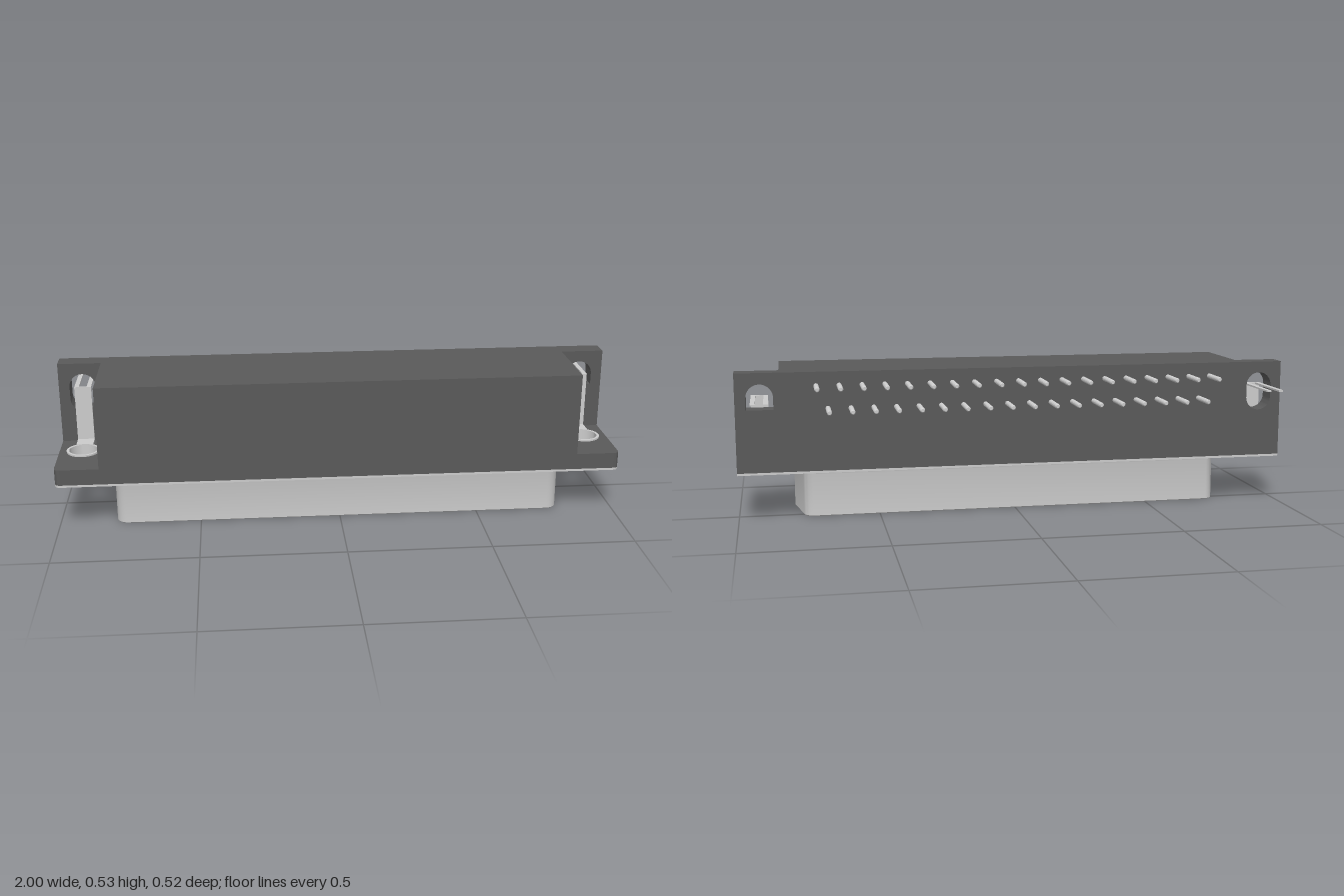
import * as THREE from 'three';
import { toCreasedNormals } from 'three/addons/utils/BufferGeometryUtils.js';

const plastic = new THREE.MeshStandardMaterial({ color: 0x5a5a5a });
const metal = new THREE.MeshStandardMaterial({ color: 0xcccccc });
const HOLE_X = 0.915, HOLE_Z = 0.08;

function add(parent, name, geometry, material, x = 0, y = 0, z = 0) {
  const mesh = new THREE.Mesh(geometry, material);
  mesh.name = name;
  mesh.position.set(x, y, z);
  parent.add(mesh);
  return mesh;
}

// box given by its limits on each axis
function block(parent, name, material, [x0, x1], [y0, y1], [z0, z1]) {
  return add(parent, name, new THREE.BoxGeometry(x1 - x0, y1 - y0, z1 - z0), material,
    (x0 + x1) / 2, (y0 + y1) / 2, (z0 + z1) / 2);
}

// horizontal slab from a shape drawn in (x, -z)
function slab(shape, y0, y1) {
  const g = new THREE.ExtrudeGeometry(shape, { depth: y1 - y0, bevelEnabled: false, curveSegments: 16 });
  return toCreasedNormals(g.rotateX(-Math.PI / 2).translate(0, y0, 0), 0.6);
}

// flange outline with rounded front corners and two screw holes
function flangeShape(zBack) {
  const s = new THREE.Shape(), r = 0.022, f = -0.26;
  s.moveTo(-1, -zBack);
  s.lineTo(-1, f + r);
  s.quadraticCurveTo(-1, f, -1 + r, f);
  s.lineTo(1 - r, f);
  s.quadraticCurveTo(1, f, 1, f + r);
  s.lineTo(1, -zBack);
  s.closePath();
  for (const side of [-1, 1]) {
    s.holes.push(new THREE.Path().absarc(side * HOLE_X, -HOLE_Z, 0.055, 0, Math.PI * 2, true));
  }
  return s;
}

// D outline (wide at the front) as [x, z] points, grown by an offset
function dOutline(offset) {
  const r = 0.04, tilt = THREE.MathUtils.degToRad(10), half = Math.PI / 2, n = 7;
  const right = [];
  for (const [z, a0, a1] of [[-0.04 + r, -half, -tilt], [0.2 - r, -tilt, half]]) {
    const cx = 0.765 + (z + 0.04) * Math.tan(tilt) - r / Math.cos(tilt);
    for (let i = 0; i <= n; i++) {
      const a = a0 + (a1 - a0) * i / n;
      right.push([cx + (r + offset) * Math.cos(a), z + (r + offset) * Math.sin(a)]);
    }
  }
  return [...right, ...right.map(([x, z]) => [-x, z]).reverse()];
}

// skin D outlines along a profile of [offset, y]
function loftD(profile) {
  const pos = [], index = [];
  const n = dOutline(0).length;
  profile.forEach(([off, y], j) => {
    for (const [x, z] of dOutline(off)) pos.push(x, y, z);
    if (j === 0) return;
    for (let i = 0; i < n; i++) {
      const k = (i + 1) % n, a = (j - 1) * n, b = j * n;
      index.push(a + i, a + k, b + i, a + k, b + k, b + i);
    }
  });
  const g = new THREE.BufferGeometry();
  g.setAttribute('position', new THREE.Float32BufferAttribute(pos, 3));
  g.setIndex(index);
  g.computeVertexNormals();
  return toCreasedNormals(g, 0.6);
}

// pin with chamfered tip at the origin, running up y
function pinGeometry(length) {
  const pts = [[0, 0], [0.006, 0], [0.009, 0.005], [0.009, length]];
  return toCreasedNormals(new THREE.LatheGeometry(pts.map(p => new THREE.Vector2(...p)), 14), 0.6);
}

// vertical plate behind the body, with a bracket slot near each end
function backPlateGeometry() {
  const s = new THREE.Shape();
  s.moveTo(-1, 0.178);
  s.lineTo(1, 0.178);
  s.lineTo(1, 0.53);
  s.lineTo(-1, 0.53);
  s.closePath();
  const r = 0.047, top = 0.49 - r;
  const pill = new THREE.Path();
  pill.absarc(-HOLE_X, top, r, 0, Math.PI, false);
  pill.absarc(-HOLE_X, 0.35 + r, r, Math.PI, Math.PI * 2, false);
  pill.closePath();
  const arch = new THREE.Path();
  arch.absarc(HOLE_X, top, r, 0, Math.PI, false);
  arch.lineTo(HOLE_X - r, 0.4);
  arch.lineTo(HOLE_X + r, 0.4);
  arch.closePath();
  s.holes.push(pill, arch);
  const g = new THREE.ExtrudeGeometry(s, { depth: 0.07, bevelEnabled: false, curveSegments: 16 });
  return toCreasedNormals(g.translate(0, 0, -0.1), 0.6);
}

export function createModel() {
  const model = new THREE.Group();
  model.name = 'connector';

  // plastic housing
  const housing = new THREE.Group();
  housing.name = 'housing';
  model.add(housing);
  block(housing, 'mainBlock', plastic, [-0.845, 0.845], [0.235, 0.53], [-0.03, 0.26]);
  add(housing, 'basePlate', slab(flangeShape(-0.03), 0.178, 0.235), plastic);
  add(housing, 'backPlate', backPlateGeometry(), plastic);

  // metal flange and hollow D-shaped shell
  add(model, 'metalFlange', slab(flangeShape(-0.1), 0.17, 0.178), metal);
  const profile = [];
  for (let i = 0; i <= 6; i++) {
    const a = i / 6 * Math.PI / 2;
    profile.push([0.016 * (1 - Math.sin(a)), 0.17 - 0.016 * (1 - Math.cos(a))]);
  }
  profile.push([0, 0.003], [-0.003, 0], [-0.012, 0], [-0.012, 0.16]);
  add(model, 'shell', loftD(profile), metal);
  const insert = new THREE.Shape(dOutline(-0.011).map(([x, z]) => new THREE.Vector2(x, -z)));
  add(model, 'insert', slab(insert, 0.15, 0.172), plastic);

  // two staggered rows: 19 and 18 pins
  const solderPin = pinGeometry(0.16).rotateX(Math.PI / 2);
  const contactPin = pinGeometry(0.14);
  for (let i = 0; i < 37; i++) {
    const x = (i - 18) * 0.04, outer = i % 2 === 0;
    add(model, 'solderPin', solderPin, metal, x, outer ? 0.481 : 0.4, -0.213);
    add(model, 'contactPin', contactPin, metal, x, 0.02, outer ? 0.12 : 0.04);
  }

  // bent board-lock brackets with eyelets
  const eyelet = new THREE.LatheGeometry(
    [[0.05, 0.17], [0.055, 0.17], [0.055, 0.235], [0.059, 0.235], [0.059, 0.241], [0.05, 0.241], [0.05, 0.17]]
      .map(p => new THREE.Vector2(...p)), 32);
  const eyeletGeometry = toCreasedNormals(eyelet, 0.6);
  for (const side of [-1, 1]) {
    const bracket = new THREE.Group();
    bracket.name = side > 0 ? 'leftBracket' : 'rightBracket';
    bracket.position.x = side * HOLE_X;
    model.add(bracket);
    add(bracket, 'eyelet', eyeletGeometry, metal, 0, 0, HOLE_Z);
    block(bracket, 'foot', metal, [-0.03, 0.03], [0.235, 0.243], [-0.03, 0.031]);
    block(bracket, 'strap', metal, [-0.03, 0.03], [0.237, 0.443], [-0.03, -0.024]);
    for (const s of [-1, 1]) {
      const x = s * 0.022;
      block(bracket, 'prong', metal, [x - 0.008, x + 0.008], [0.437, 0.443], [-0.257, -0.025]);
    }
  }
  return model;
}
